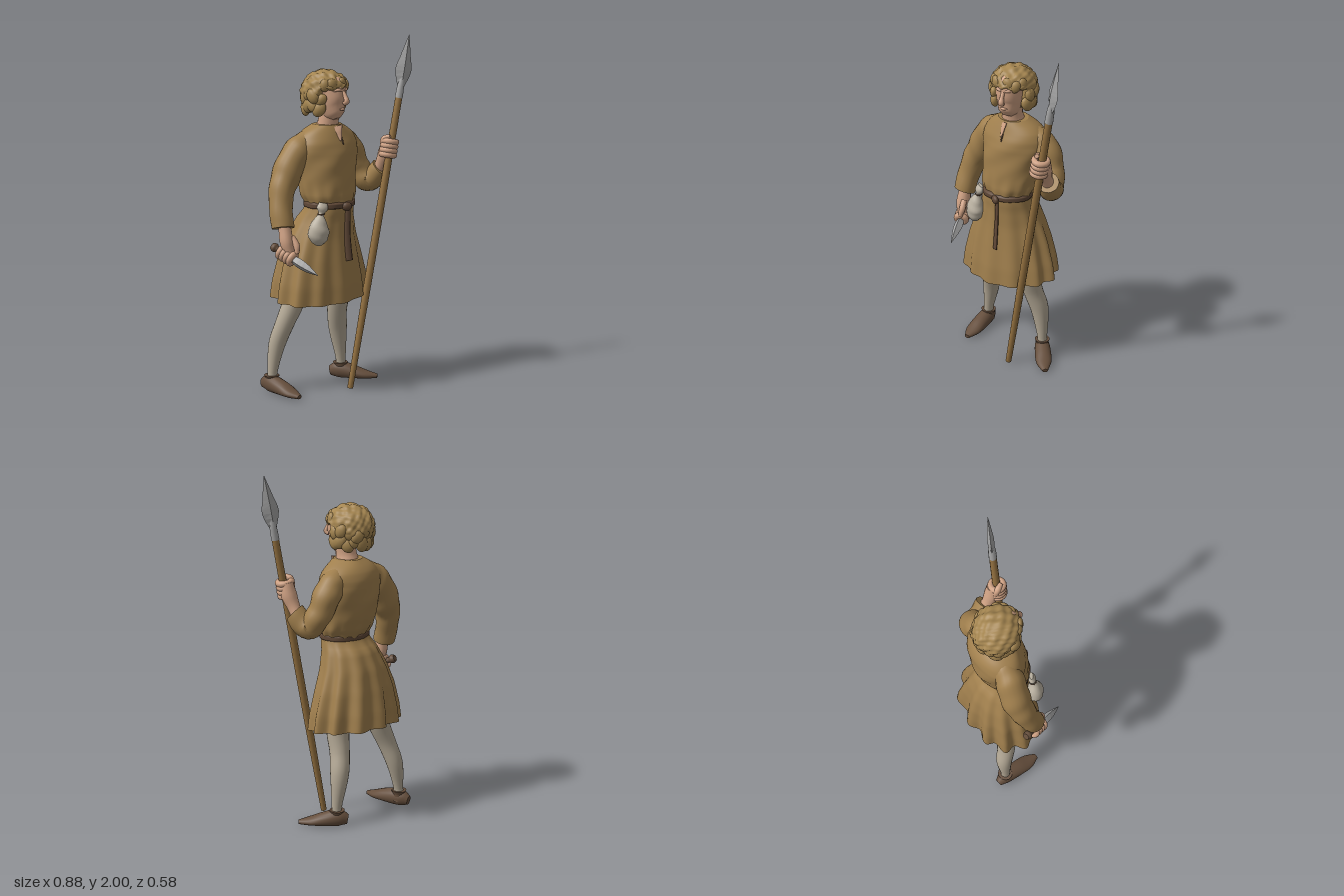
import * as THREE from 'three';
import { mergeVertices } from 'three/addons/utils/BufferGeometryUtils.js';

const V = (p) => new THREE.Vector3(...p);
const YAW = 0.45; // the body is turned towards its left

// Skin a list of rings (arrays of Vector3) and close both ends
function loft(rings) {
  const n = rings[0].length, pos = [], idx = [];
  rings.forEach((r) => r.forEach((p) => pos.push(p.x, p.y, p.z)));
  for (let i = 0; i < rings.length - 1; i++) {
    for (let j = 0; j < n; j++) {
      const a = i * n + j, b = i * n + (j + 1) % n;
      idx.push(a, a + n, b, b, a + n, b + n);
    }
  }
  [0, rings.length - 1].forEach((r, end) => {
    const c = new THREE.Vector3(), k = pos.length / 3;
    rings[r].forEach((p) => {
      c.addScaledVector(p, 1 / n);
      pos.push(p.x, p.y, p.z);
    });
    pos.push(c.x, c.y, c.z);
    for (let j = 0; j < n; j++) {
      const a = k + j, b = k + (j + 1) % n;
      if (end) idx.push(k + n, b, a); else idx.push(k + n, a, b);
    }
  });
  const g = new THREE.BufferGeometry();
  g.setAttribute('position', new THREE.Float32BufferAttribute(pos, 3));
  g.setIndex(idx);
  g.computeVertexNormals();
  return g;
}

// Rounded limb along a path; each radius is a number or [width, depth]
function limb(points, radii, { n = 16, ref = [0, 0, 1], steps = 5, wrinkle = 0 } = {}) {
  const curve = new THREE.CatmullRomCurve3(points.map(V));
  const size = new THREE.CatmullRomCurve3(
    radii.map((r) => (Array.isArray(r) ? V([r[0], r[1], 0]) : V([r, r, 0]))), false, 'catmullrom');
  const rings = [], total = (points.length - 1) * steps;
  for (let i = 0; i <= total; i++) {
    const t = i / total, c = curve.getPoint(t), s = size.getPoint(t), T = curve.getTangent(t);
    const side = T.clone().cross(V(ref)).normalize(), up = side.clone().cross(T);
    rings.push(Array.from({ length: n }, (_, j) => {
      const a = j / n * Math.PI * 2, k = 1 + wrinkle * Math.sin(t * 34 + 2 * Math.sin(a + 1));
      return c.clone().addScaledVector(side, Math.cos(a) * s.x * k).addScaledVector(up, Math.sin(a) * s.y * k);
    }));
  }
  return loft(rings);
}

// Point on a turned body surface; rows are [y, centreX, centreZ, halfWidth, halfDepth]
function onBody(rows, y, a, off = 0, fold = () => 0) {
  let i = 0;
  while (i < rows.length - 2 && y > rows[i + 1][0]) i++;
  const t = THREE.MathUtils.clamp((y - rows[i][0]) / (rows[i + 1][0] - rows[i][0]), 0, 1);
  const [, cx, cz, rx, rz] = rows[i].map((v, k) => THREE.MathUtils.lerp(v, rows[i + 1][k], t));
  const f = 1 + fold(y, a), x = Math.cos(a) * (rx * f + off), z = Math.sin(a) * (rz * f + off);
  return new THREE.Vector3(cx + x * Math.cos(YAW) + z * Math.sin(YAW), y, cz - x * Math.sin(YAW) + z * Math.cos(YAW));
}
function bodyLoft(rows, steps, n, fold, hem = 0) {
  const y0 = rows[0][0], y1 = rows[rows.length - 1][0], rings = [];
  for (let i = 0; i <= steps; i++) {
    rings.push(Array.from({ length: n }, (_, j) => {
      const p = onBody(rows, y0 + (y1 - y0) * i / steps, j / n * Math.PI * 2, 0, fold);
      p.y -= hem * (p.z + 0.05) * (1 - i / steps);
      return p;
    }));
  }
  return loft(rings);
}

const TORSO = [[1.06, -.04, -.005, .14, .115], [1.09, -.04, -.01, .145, .12], [1.13, -.045, -.02, .163, .136],
  [1.2, -.05, -.035, .172, .145], [1.3, -.055, -.048, .185, .15], [1.37, -.05, -.055, .195, .145],
  [1.42, -.05, -.06, .195, .136], [1.46, -.05, -.062, .175, .12], [1.49, -.05, -.056, .14, .102], [1.52, -.047, -.045, .085, .078]];
const SKIRT = [[.555, -.085, -.045, .293, .208], [.65, -.085, -.045, .28, .203], [.78, -.085, -.045, .248, .187],
  [.9, -.078, -.042, .205, .167], [1.0, -.06, -.03, .168, .145], [1.05, -.045, -.01, .15, .125], [1.09, -.04, -.005, .14, .115]];
const BELT = [[1.062, -.04, -.005, .138, .113], [1.068, -.04, -.005, .153, .128],
  [1.094, -.04, -.005, .153, .128], [1.1, -.04, -.005, .138, .113]];

export function createModel() {
  const model = new THREE.Group();
  const mat = (name, color) => {
    const m = new THREE.MeshStandardMaterial({ color });
    m.name = name;
    return m;
  };
  const cloth = mat('tunic cloth', 0xa07f4d), skin = mat('skin', 0xd0a284);
  const hairMat = mat('hair', 0xa48550), wool = mat('stocking wool', 0xb3a895), leather = mat('shoe leather', 0x664f3d);
  const strapMat = mat('belt leather', 0x5f4736), steel = mat('steel', 0xa6a6a6);
  const wood = mat('wood', 0x947140), linen = mat('pouch linen', 0xb9b0a0);
  const add = (name, geo, m, parent = model) => {
    const mesh = new THREE.Mesh(geo, m);
    mesh.name = name;
    parent.add(mesh);
    return mesh;
  };
  const flat = (g) => { const f = g.toNonIndexed(); f.computeVertexNormals(); return f; };

  // Tunic
  const crease = (y, a) => .02 * Math.sin(5 * a + y * 30) * Math.sin(y * 13) + (y < 1.22 ? (1.22 - y) * .25 * Math.sin(13 * a) : 0);
  const pleat = (y, a) => {
    const t = Math.pow(THREE.MathUtils.clamp((1.09 - y) / .5, 0, 1), .8);
    return t * ((.06 - .028 * Math.sin(a)) * Math.cos(12 * (a + 1.6) + .4 * Math.sin(3 * a)) + .02 * Math.sin(5 * a + 1));
  };
  add('tunicTop', bodyLoft(TORSO, 34, 72, crease), cloth);
  add('tunicSkirt', bodyLoft(SKIRT, 24, 144, pleat, .1), cloth);
  add('rightSleeve', limb([[-.1, 1.435, -.04], [-.16, 1.425, -.02], [-.225, 1.375, .005], [-.295, 1.25, .035], [-.335, 1.13, .08], [-.335, .975, .132]],
    [.06, .066, .08, .082, .068, .062], { n: 20, steps: 9, wrinkle: .03 }), cloth);
  add('leftSleeve', limb([[0, 1.435, -.095], [.055, 1.425, -.13], [.11, 1.365, -.165], [.165, 1.25, -.175], [.22, 1.175, -.145], [.28, 1.25, -.095]],
    [.055, .064, .077, .07, .068, .058], { n: 20, steps: 9, wrinkle: .03 }), cloth);

  // Neckline slit and its cord
  const front = Math.PI / 2;
  add('neckOpening', limb([1.435, 1.46, 1.485, 1.512].map((y) => onBody(TORSO, y, front, .002).toArray()),
    [[.004, .004], [.014, .006], [.024, .007], [.036, .004]]), skin);
  add('neckCord', limb([1.415, 1.43, 1.455].map((y) => onBody(TORSO, y, front - .05, .006).toArray()), [.003, .004, .004], { n: 6 }), strapMat);

  // Belt with knot and hanging end
  add('belt', bodyLoft(BELT, 6, 60, (y, a) => .012 * Math.sin(7 * a)), strapMat);
  const knot = add('beltKnot', new THREE.SphereGeometry(.024, 14, 10), strapMat);
  knot.position.copy(onBody(BELT, 1.075, front - .1, .004));
  knot.scale.set(1.2, 1, .7);
  add('beltEnd', limb([1.08, 1.02, .94, .86, .77].map((y) => onBody(SKIRT, y, front - .18, .014, pleat).toArray()),
    [[.014, .008], [.016, .008], [.017, .008], [.019, .008], [.02, .008]], { n: 8 }), strapMat);

  // Pouch
  add('pouch', limb([[-.14, .875, .155], [-.14, .9, .155], [-.14, .945, .152], [-.133, 1.0, .146], [-.122, 1.045, .138], [-.115, 1.075, .135], [-.108, 1.105, .13]],
    [.018, [.046, .038], [.06, .048], [.042, .036], [.016, .016], [.032, .022], [.024, .01]], { n: 18, wrinkle: .03 }), linen);
  const tie = add('pouchTie', new THREE.TorusGeometry(.017, .004, 6, 16), strapMat);
  tie.position.set(-.122, 1.045, .138);
  tie.rotation.x = Math.PI / 2;

  // Legs
  add('rightLeg', limb([[-.19, .82, -.03], [-.24, .54, -.02], [-.296, .4, -.02], [-.342, .27, -.035], [-.37, .11, -.03], [-.374, .05, -.03]],
    [.085, .065, .054, .048, .029, .032], { n: 20 }), wool);
  add('leftLeg', limb([[.01, .82, -.08], [.033, .54, -.105], [.033, .42, -.135], [.046, .3, -.17], [.066, .11, -.18], [.066, .05, -.18]],
    [.085, .066, .057, .053, .029, .032], { n: 20 }), wool);

  // Shoes
  const shoe = (name, path, ankle) => {
    const g = new THREE.Group();
    g.name = name;
    model.add(g);
    const upper = limb(path, [[.022, .028], [.042, .05], [.048, .042], [.044, .025], [.016, .012]], { n: 20, ref: [0, 1, 0] });
    const p = upper.attributes.position;
    for (let i = 0; i < p.count; i++) p.setY(i, Math.max(p.getY(i), .003));
    upper.computeVertexNormals();
    add('shoeUpper', upper, leather, g);
    const [x, z] = ankle;
    add('shoeCollar', limb([[x, .03, z], [x, .07, z], [x, .092, z]], [.038, .036, .043], { n: 16, wrinkle: .06 }), leather, g);
  };
  shoe('rightShoe', [[-.418, .036, -.075], [-.385, .045, -.035], [-.33, .034, .05], [-.29, .022, .115], [-.255, .014, .168]], [-.374, -.03]);
  shoe('leftShoe', [[.008, .036, -.205], [.055, .045, -.185], [.13, .034, -.155], [.2, .022, -.125], [.268, .014, -.1]], [.066, -.18]);

  // Spear
  const foot = V([.068, .002, .042]), tip = V([.432, 2, -.068]);
  const along = (t, from = foot, to = tip) => from.clone().lerp(to, t).toArray();
  add('spearShaft', limb([along(0), along(.3), along(.6), along(.84)], [.017, .022, .022, .02], { n: 12 }), wood);
  add('spearSocket', limb([along(.825), along(.86), along(.885)], [.0225, .02, .014], { n: 12 }), steel);
  add('spearBlade', flat(limb([along(.855), along(.9), along(.935), along(1)],
    [[.018, .015], [.047, .018], [.033, .014], [.001, .001]], { n: 4, steps: 3 })), steel);

  // Dagger
  const pommel = V([-.385, .868, .085]), point = V([-.175, .737, .29]);
  const d = (t) => along(t, pommel, point);
  add('daggerHandle', limb([d(0), d(.06), d(.12), d(.45)], [.02, .026, .016, .016], { n: 12, ref: [0, 1, 0] }), leather);
  add('daggerBlade', flat(limb([d(.44), d(.58), d(.78), d(1)], [[.017, .022], [.026, .028], [.019, .022], [.001, .001]],
    { n: 4, steps: 2, ref: [0, 1, 0] })), steel);

  // Hands: palm plus fingers curled round a shaft
  const hand = (name, arm, radii, centre, axis, thumb, curl) => {
    const g = new THREE.Group();
    g.name = name;
    model.add(g);
    add('palm', limb(arm, radii), skin, g);
    for (let i = 0; i < 4; i++) {
      const f = add('finger', new THREE.TorusGeometry(curl, .018, 10, 20), skin, g);
      f.position.copy(centre).addScaledVector(axis, (i - 1.5) * .025);
      f.quaternion.setFromUnitVectors(new THREE.Vector3(0, 0, 1), axis);
    }
    add('thumb', limb(thumb, [.016, .018, .012], { n: 10 }), skin, g);
  };
  hand('rightHand', [[-.333, 1.03, .118], [-.325, .97, .135], [-.318, .9, .148], [-.305, .845, .158]],
    [.034, .035, [.038, .042], [.03, .034]], V(d(.32)), point.clone().sub(pommel).normalize(),
    [[-.29, .93, .155], [-.268, .88, .18], [-.27, .84, .19]], .028);
  hand('leftHand', [[.262, 1.22, -.11], [.28, 1.28, -.082], [.298, 1.34, -.06], [.308, 1.41, -.052]],
    [.034, .036, [.044, .044], [.034, .036]], V([.308, 1.372, -.03]), tip.clone().sub(foot).normalize(),
    [[.275, 1.37, -.045], [.28, 1.425, -.03], [.31, 1.44, -.01]], .035);

  // Head, turned further to its left
  add('neck', limb([[-.045, 1.47, -.05], [-.04, 1.54, -.035], [-.03, 1.63, -.03]], [.07, .058, .056]), skin);
  const head = new THREE.Group();
  head.name = 'head';
  head.position.set(-.04, 0, -.03);
  head.rotation.y = .66;
  model.add(head);
  add('face', limb([[0, 1.55, .055], [0, 1.57, .045], [0, 1.62, .022], [0, 1.68, .01], [0, 1.735, 0], [0, 1.775, -.02]],
    [[.022, .026], [.05, .06], [.068, .085], [.075, .1], [.072, .094], [.035, .045]], { n: 24 }), skin, head);
  add('nose', limb([[0, 1.705, .104], [0, 1.675, .119], [0, 1.65, .128], [0, 1.638, .11]],
    [.01, .012, [.017, .014], .012], { n: 12 }), skin, head);
  add('lips', limb([[-.022, 1.606, .092], [0, 1.608, .103], [.022, 1.606, .092]], [.003, .008, .003], { n: 8 }), skin, head);
  [-1, 1].forEach((s) => add('brow', limb([[s * .012, 1.71, .103], [s * .033, 1.715, .096], [s * .055, 1.708, .074]],
    [.006, .009, .005], { n: 8, ref: [0, 1, 0] }), skin, head));

  // Curly hair: a lumpy cap drawn in over the face
  const cap = new THREE.IcosahedronGeometry(1, 20);
  cap.deleteAttribute('normal');
  cap.deleteAttribute('uv');
  const hair = mergeVertices(cap, 1e-4), hp = hair.attributes.position, ss = THREE.MathUtils.smoothstep;
  for (let i = 0; i < hp.count; i++) {
    const v = new THREE.Vector3().fromBufferAttribute(hp, i).normalize();
    const lump = .04 * Math.sin(11 * v.x + 4 * v.y) * Math.sin(10 * v.z - 5 * v.y)
      + .025 * Math.sin(19 * v.x + 5 * v.z) * Math.sin(17 * v.y + 8 * v.z);
    const open = ss(v.z, .35, .58) * (1 - ss(v.y, .08, .24 + .06 * Math.sin(14 * v.x)));
    const k = (1 + lump) * (1 - .5 * open);
    hp.setXYZ(i, v.x * .13 * k, 1.698 + v.y * .122 * k, -.026 + v.z * .137 * k);
  }
  hair.computeVertexNormals();
  add('hair', hair, hairMat, head);
  const lock = (a, y, r, s) => {
    const m = add('hairLock', new THREE.SphereGeometry(s, 12, 10), hairMat, head);
    m.position.set(Math.sin(a) * r, y, -.026 + Math.cos(a) * r);
    m.rotation.set(0, a, Math.sin(a * 7) * .7);
    m.scale.set(1, 1.25, .7);
  };
  for (let i = 0; i < 11; i++) {
    const a = 1.2 + i / 10 * (Math.PI * 2 - 2.4);
    lock(a, 1.622 + .014 * Math.sin(i * 2.4), .106 + .006 * Math.sin(i * 3.1), .036 + .004 * Math.sin(i * 1.9));
    lock(a + .12, 1.675 + .014 * Math.sin(i * 1.7), .115 + .006 * Math.sin(i * 2.3), .032 + .004 * Math.sin(i * 2.9));
  }
  for (let i = 0; i < 6; i++) lock((i - 2.5) * .36, 1.74 + .008 * Math.sin(i * 2.6), .11 + .004 * Math.sin(i * 2), .028);

  return model;
}
